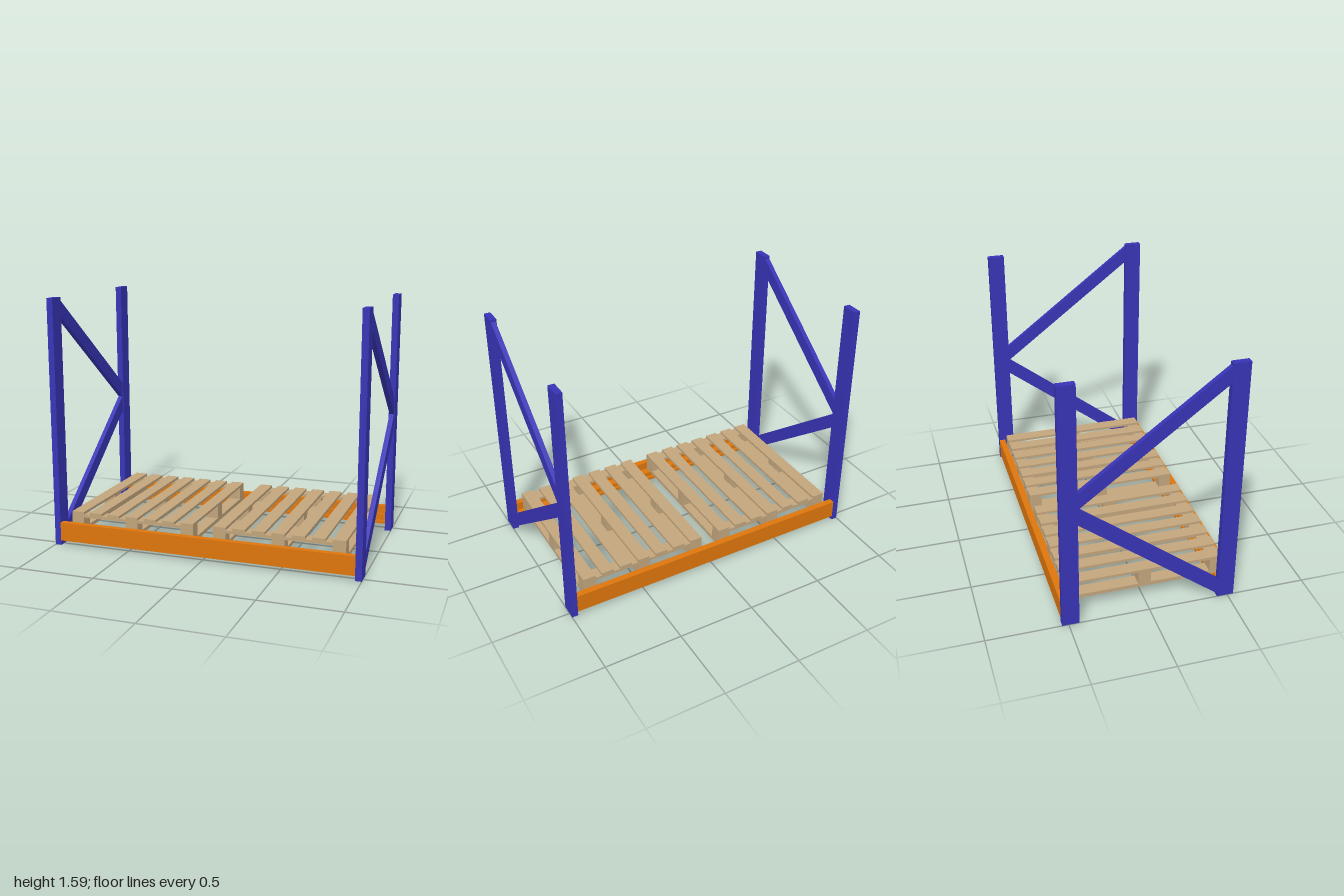
import * as THREE from 'three';

const material = (color) => new THREE.MeshStandardMaterial({ color });

function addBox(parent, name, mat, size, position) {
  const mesh = new THREE.Mesh(new THREE.BoxGeometry(...size), mat);
  mesh.position.set(...position);
  mesh.name = name;
  parent.add(mesh);
}

// Extrudes a [z, y] outline along x, centred on the given x
function addProfile(parent, name, mat, points, length, x) {
  const shape = new THREE.Shape(points.map(([z, y]) => new THREE.Vector2(z, y)));
  const geometry = new THREE.ExtrudeGeometry(shape, { depth: length, bevelEnabled: false });
  geometry.translate(0, 0, -length / 2).rotateY(-Math.PI / 2);
  const mesh = new THREE.Mesh(geometry, mat);
  mesh.position.x = x;
  mesh.name = name;
  parent.add(mesh);
}

// Upright frame: two posts and two diagonal braces
function createFrame(side, mat) {
  const frame = new THREE.Group();
  frame.name = side > 0 ? 'leftFrame' : 'rightFrame';
  for (const s of [1, -1]) {
    addBox(frame, s > 0 ? 'frontPost' : 'backPost', mat,
      [0.04, 1.585, 0.105], [side * 0.98, 0.7925, s * 0.4875]);
  }
  const z = 0.436;
  addProfile(frame, 'lowerBrace', mat,
    [[z, 0.02], [z, 0.125], [-z, 0.805], [-z, 0.70]], 0.03, side * 0.981);
  addProfile(frame, 'upperBrace', mat,
    [[z, 1.465], [z, 1.57], [-z, 0.905], [-z, 0.80]], 0.03, side * 0.981);
  return frame;
}

// Stepped load beam with a ledge for the pallets and a groove on its inner face
function addBeam(parent, name, mat, side, ledge) {
  const groove = ledge + 0.018;
  const profile = [
    [0.54, 0.03], [0.54, 0.15], [0.5, 0.15], [0.5, 0.097], [ledge, 0.097],
    [ledge, 0.077], [groove, 0.077], [groove, 0.05], [ledge, 0.05], [ledge, 0.03],
  ];
  addProfile(parent, name, mat, profile.map(([z, y]) => [side * z, y]), 1.92, 0);
}

function createPallet(mat) {
  const pallet = new THREE.Group();
  const pitch = 0.1247, width = 0.082, depth = 0.996;
  for (let i = -3; i <= 3; i++) {
    addBox(pallet, 'topBoard', mat, [width, 0.017, depth], [i * pitch, 0.2135, 0]);
  }
  // Cross boards under both ends of the deck
  for (const s of [1, -1]) {
    addBox(pallet, 'crossBoard', mat, [6 * pitch + width, 0.018, 0.08], [0, 0.196, s * 0.458]);
  }
  // Bottom runners with three blocks each
  for (const i of [-3, 0, 3]) {
    addBox(pallet, 'bottomBoard', mat, [width, 0.024, depth], [i * pitch, 0.11, 0]);
    for (const k of [-1, 0, 1]) {
      const height = k === 0 ? 0.083 : 0.065;
      addBox(pallet, 'block', mat, [width, height, 0.08], [i * pitch, 0.122 + height / 2, k * 0.458]);
    }
  }
  return pallet;
}

export function createModel() {
  const model = new THREE.Group();
  model.name = 'palletRack';
  const blue = material(0x3834b6);
  const orange = material(0xde760c);
  const wood = material(0xc2a57c);

  for (const side of [1, -1]) {
    model.add(createFrame(side, blue));
    const pallet = createPallet(wood);
    pallet.name = side > 0 ? 'leftPallet' : 'rightPallet';
    pallet.position.x = side * 0.48;
    model.add(pallet);
  }
  addBeam(model, 'frontBeam', orange, 1, 0.45);
  addBeam(model, 'backBeam', orange, -1, 0.48);
  return model;
}
